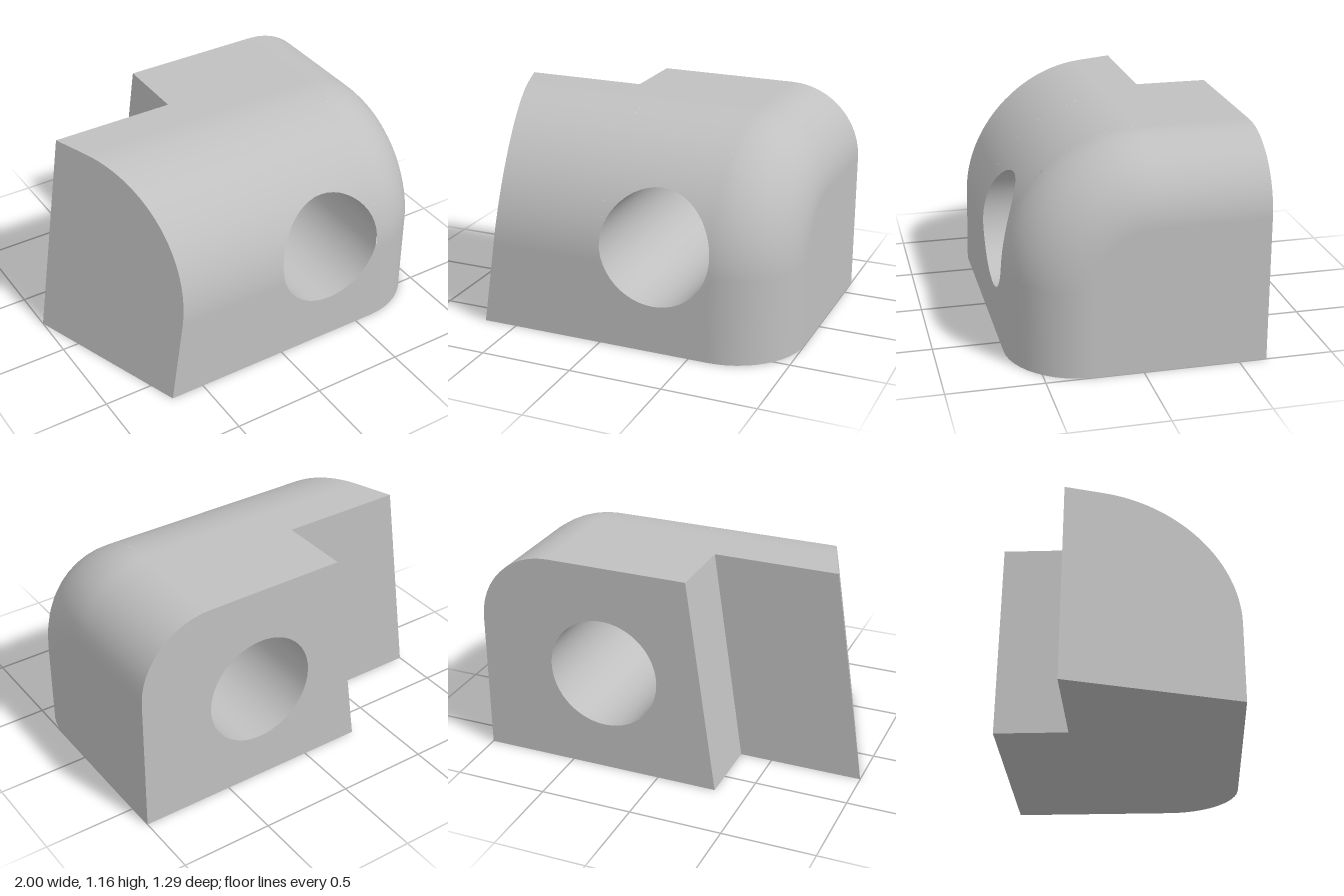
import * as THREE from 'three';

// Main dimensions
const H = 1.16, Z = 0.645, STEP = -0.255;      // height, half depth, depth of the notch wall
const R = 0.7, AY = H - R, AZ = Z - R;         // front-top rounding and its axis
const F = 0.395, FX = 1 - F;                   // side fillet and where it starts
const HX = 0.3025, HY = 0.56, HR = 0.3025;     // bore
const S_STEP = 2 + (AZ - STEP) / (AZ + Z);     // profile parameter at the notch wall

const leftX = (y, z) => -1 + 0.17 * y / H + 0.35 * (z - STEP);
const notchX = (y) => -0.325 + 0.16 * y / H;
const lerp = THREE.MathUtils.lerp;

// Profile, inset by d: s 0-1 front wall, 1-2 rounding, 2-3 top
function profile(s, d = 0) {
  const t = THREE.MathUtils.clamp(s - 1, 0, 1) * Math.PI / 2;
  const ny = Math.sin(t), nz = Math.cos(t);
  return {
    y: (s < 1 ? s * AY : AY) + (R - d) * ny,
    z: (s > 2 ? lerp(AZ, -Z, s - 2) : AZ) + (R - d) * nz,
    ny, nz,
  };
}

// Point and normal of the outer skin; a is the angle around the side fillet
function skin(x, s, a = 0) {
  const p = profile(s, F * (1 - Math.cos(a))), c = Math.cos(a);
  return [x, p.y, p.z, Math.sin(a), p.ny * c, p.nz * c];
}

// Profile parameter at a height on the front
const sAt = (y) => (y < AY ? y / AY : 1 + Math.asin((y - AY) / R) / (Math.PI / 2));

// Grid surface from f(u, v) giving position and normal
function patch(nu, nv, f) {
  const pos = [], nor = [], idx = [];
  for (let j = 0; j <= nv; j++) {
    for (let i = 0; i <= nu; i++) {
      const p = f(i / nu, j / nv);
      pos.push(p[0], p[1], p[2]);
      nor.push(p[3], p[4], p[5]);
      if (i < nu && j < nv) {
        const a = j * (nu + 1) + i, c = a + nu + 1;
        idx.push(a, a + 1, c + 1, a, c + 1, c);
      }
    }
  }
  const g = new THREE.BufferGeometry();
  g.setAttribute('position', new THREE.Float32BufferAttribute(pos, 3));
  g.setAttribute('normal', new THREE.Float32BufferAttribute(nor, 3));
  g.setIndex(idx);
  return g;
}

// Flat face from a 2D outline carried into space by map(u, v)
function face(outline, map, hole) {
  const shape = new THREE.Shape(outline.map(([u, v]) => new THREE.Vector2(u, v)));
  if (hole) shape.holes.push(hole);
  const g = new THREE.ShapeGeometry(shape, 48);
  const p = g.attributes.position;
  for (let i = 0; i < p.count; i++) p.setXYZ(i, ...map(p.getX(i), p.getY(i)));
  g.computeVertexNormals();
  return g;
}

const range = (n, f) => Array.from({ length: n + 1 }, (_, i) => f(i / n));

export function createModel() {
  const model = new THREE.Group();
  model.name = 'boredBlock';
  const grey = new THREE.MeshStandardMaterial({ color: 0xc0c0c0 });
  grey.name = 'grey';
  const add = (name, geometry) => {
    const mesh = new THREE.Mesh(geometry, grey);
    mesh.name = name;
    model.add(mesh);
  };

  // Outer skin left of the bore, cut by the slanted end and the notch
  const bands = [[0, 1, 1], [1, 2, 24], [2, S_STEP, 1]];
  for (const [s0, s1, n] of bands) {
    add('leftSkin', patch(1, n, (u, v) => {
      const s = lerp(s0, s1, v), p = profile(s);
      return skin(lerp(leftX(p.y, p.z), 0, u), s);
    }));
  }
  add('notchTop', patch(1, 1, (u, v) => skin(lerp(notchX(H), 0, u), lerp(S_STEP, 3, v))));

  // Outer skin below and above the bore
  const boreX = (u) => HX - HR * Math.cos(Math.PI * u);
  const boreS = (u, side) => sAt(HY + side * HR * Math.sin(Math.PI * u));
  add('skinBelowBore', patch(24, 12, (u, v) => skin(boreX(u), boreS(u, -1) * v)));
  add('skinAboveBore', patch(24, 24, (u, v) => skin(boreX(u), lerp(boreS(u, 1), 2, v))));
  add('topAboveBore', patch(1, 1, (u, v) => skin(FX * u, 2 + v)));

  // Rounded edge running up the front and back along the top
  for (const [s0, s1, n] of [[0, 1, 1], [1, 2, 24], [2, 3, 1]]) {
    add('sideFillet', patch(12, n, (u, v) => {
      const a = u * Math.PI / 2;
      return skin(FX + F * Math.sin(a), lerp(s0, s1, v), a);
    }));
  }

  // Bore wall, from the curved front to the flat back
  add('bore', patch(48, 1, (u, v) => {
    const a = u * Math.PI * 2, c = Math.cos(a), s = Math.sin(a);
    const y = HY + HR * s;
    return [HX + HR * c, y, lerp(profile(sAt(y)).z, -Z, v), -c, -s, 0];
  }));

  // Flat side
  const inner = range(24, (t) => profile(1 + t, F)).map((p) => [-p.z, p.y]);
  add('flatSide', face([[-profile(0, F).z, 0], ...inner, [Z, H - F], [Z, 0]],
    (u, v) => [1, v, -u]));

  // Slanted end
  const rim = range(24, (t) => profile(1 + t)).map((p) => [p.z, p.y]);
  add('slantedEnd', face([[Z, 0], ...rim, [STEP, H], [STEP, 0]],
    (u, v) => [leftX(v, u), v, u]));

  // Notch walls
  add('notchSide', face([[STEP, 0], [STEP, H], [-Z, H], [-Z, 0]],
    (u, v) => [notchX(v), v, u]));
  add('notchBack', face([
    [-leftX(0, STEP), 0], [-leftX(H, STEP), H], [-notchX(H), H], [-notchX(0), 0],
  ], (u, v) => [-u, v, STEP]));

  // Back with the bore opening
  const fillet = range(12, (t) => [
    FX + F * Math.sin(t * Math.PI / 2), F * (1 - Math.cos(t * Math.PI / 2)),
  ]);
  const opening = new THREE.Path().absarc(-HX, HY, HR, 0, Math.PI * 2, true);
  add('back', face([
    [-notchX(0), 0], [-notchX(H), H], ...fillet.map(([x, d]) => [-x, H - d]), [-1, 0],
  ], (u, v) => [-u, v, -Z], opening));

  // Underside
  add('underside', face([
    [leftX(0, Z), Z], ...fillet.map(([x, d]) => [x, Z - d]), [1, -Z],
    [notchX(0), -Z], [notchX(0), STEP], [leftX(0, STEP), STEP],
  ], (u, v) => [u, 0, v]));

  return model;
}
